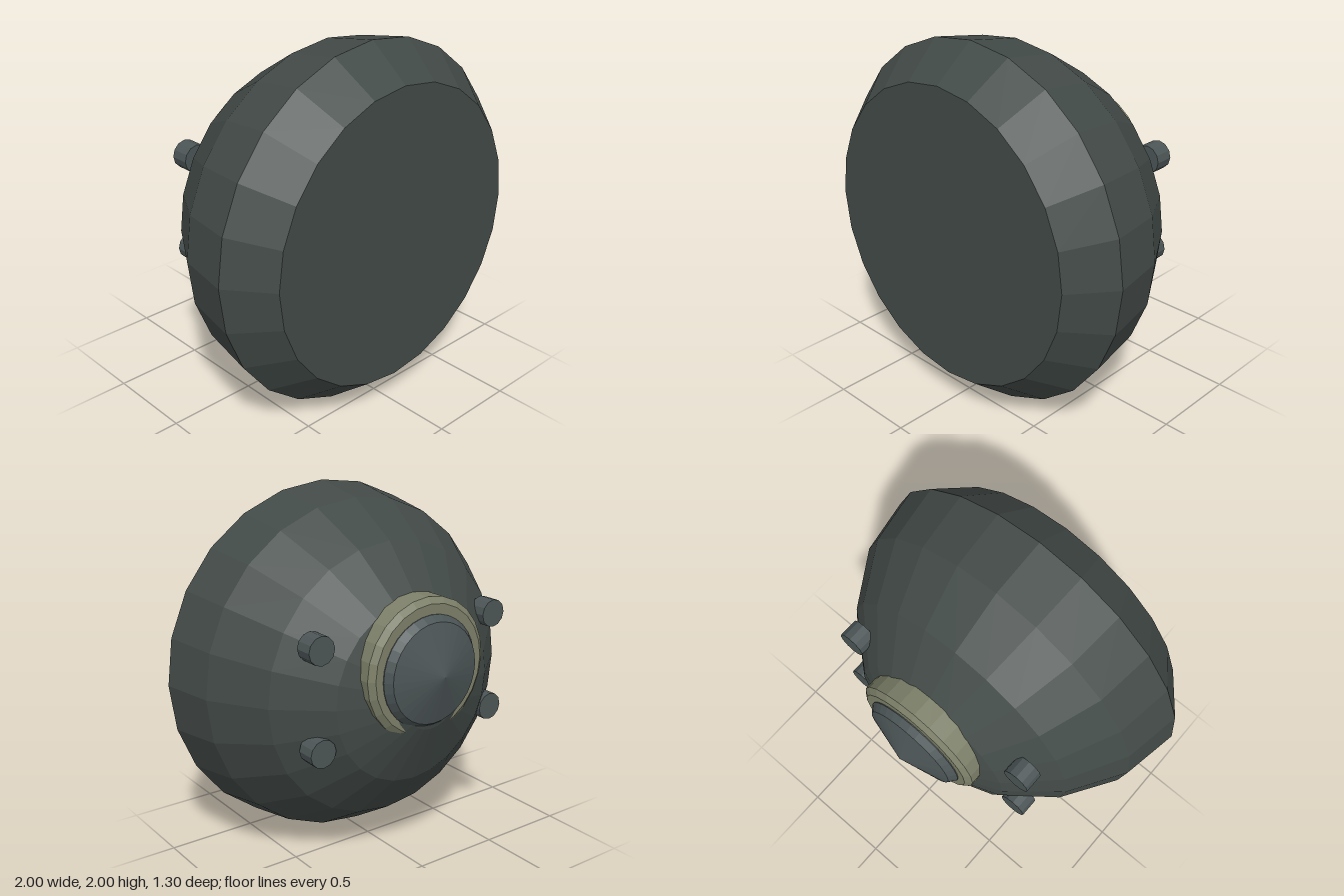
import * as THREE from 'three';

const shellMat = new THREE.MeshStandardMaterial({ color: 0x424a47, flatShading: true });
const collarMat = new THREE.MeshStandardMaterial({ color: 0x7d8069, flatShading: true });
const capMat = new THREE.MeshStandardMaterial({ color: 0x4c5556, flatShading: true });

// Revolves [radius, z] pairs, listed from front to back, about the z axis
function turned(name, profile, sides, material, y) {
  const points = profile.map(([r, z]) => new THREE.Vector2(r, -z));
  const geometry = new THREE.LatheGeometry(points, sides).rotateX(-Math.PI / 2);
  const mesh = new THREE.Mesh(geometry, material);
  mesh.name = name;
  mesh.position.y = y;
  return mesh;
}

export function createModel() {
  const model = new THREE.Group();
  model.name = 'domedHousing';

  // Faceted shell with a flat front and a domed back
  model.add(turned('shell', [
    [0, 0.65], [0.82, 0.65], [1, 0.425], [0.945, 0.11],
    [0.76, -0.19], [0.5, -0.41], [0.17, -0.55], [0, -0.59],
  ], 24, shellMat, 1));

  // Off-centre collar, its lower part sunk into the shell
  model.add(turned('collar', [
    [0.3, -0.36], [0.378, -0.36], [0.378, -0.505], [0.345, -0.53], [0.26, -0.53],
  ], 24, collarMat, 1.15));

  // Conical cap inside the collar
  model.add(turned('cap', [
    [0.3, -0.45], [0.3, -0.535], [0.27, -0.575], [0, -0.655],
  ], 32, capMat, 1.14));

  // Four short pegs around the dome
  const pegGeometry = new THREE.CylinderGeometry(0.077, 0.077, 0.105, 12).rotateX(Math.PI / 2);
  for (const [side, x] of [['left', 0.565], ['right', -0.565]]) {
    for (const [level, y] of [['Upper', 1.32], ['Lower', 0.777]]) {
      const peg = new THREE.Mesh(pegGeometry, capMat);
      peg.name = `${side}${level}Peg`;
      peg.position.set(x, y, -0.3375);
      model.add(peg);
    }
  }
  return model;
}
